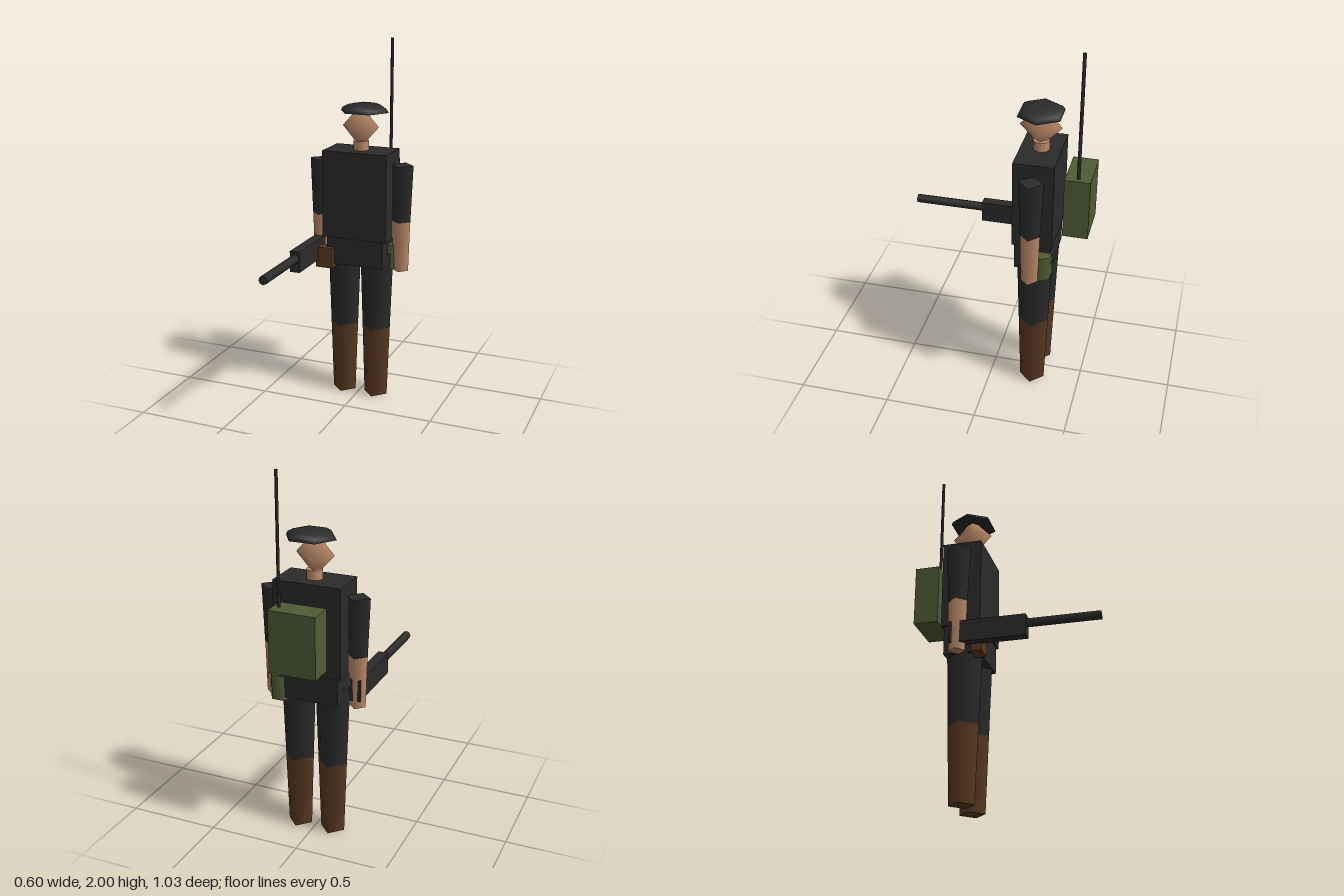
import * as THREE from 'three';

const mat = (name, color) => {
  const m = new THREE.MeshStandardMaterial({ color });
  m.name = name;
  return m;
};

export function createModel() {
  const model = new THREE.Group();
  model.name = 'soldier';
  const Z = -0.235; // depth of the body axis

  const black = mat('blackCloth', 0x2b2b2b);
  const brown = mat('brownLeather', 0x5a3a22);
  const green = mat('greenCanvas', 0x505c36);
  const skin = mat('skin', 0xc08d6a);

  const add = (name, geometry, material, x, y, z, parent = model) => {
    const mesh = new THREE.Mesh(geometry, material);
    mesh.name = name;
    mesh.position.set(x, y, z);
    parent.add(mesh);
    return mesh;
  };
  // Box given by its extents on each axis
  const box = (name, material, [x0, x1], [y0, y1], [z0, z1]) =>
    add(name, new THREE.BoxGeometry(x1 - x0, y1 - y0, z1 - z0), material,
      (x0 + x1) / 2, (y0 + y1) / 2, (z0 + z1) / 2);
  // Upright tapered column between two heights
  const column = (name, material, x, z, y0, r0, y1, r1, sides, parent) =>
    add(name, new THREE.CylinderGeometry(r1, r0, y1 - y0, sides), material,
      x, (y0 + y1) / 2, z, parent);

  // Body
  box('torso', black, [-0.184, 0.184], [0.937, 1.42], [-0.34, -0.128]);
  box('hips', black, [-0.163, 0.163], [0.783, 0.937], [-0.33, -0.138]);
  column('neck', skin, 0, Z, 1.4, 0.044, 1.47, 0.044, 8);

  // Faceted head
  const head = add('head', new THREE.SphereGeometry(1, 4, 2), skin, -0.002, 1.547, -0.232);
  head.scale.set(0.104, 0.115, 0.11);

  // Beret: shallow six-sided dome with a flat underside
  const beret = new THREE.Group();
  beret.name = 'beret';
  beret.position.set(0.019, 1.628, -0.234);
  beret.scale.set(0.137, 0.048, 0.126);
  model.add(beret);
  add('beretCrown', new THREE.SphereGeometry(1, 6, 4, 0, Math.PI * 2, 0, Math.PI / 2), black, 0, 0, 0, beret);
  add('beretUnderside', new THREE.CircleGeometry(1, 6), black, 0, 0, 0, beret).rotation.x = Math.PI / 2;

  // Four-sided arms and legs
  for (const [side, s] of [['left', 1], ['right', -1]]) {
    const arm = new THREE.Group();
    arm.name = side + 'Arm';
    const leg = new THREE.Group();
    leg.name = side + 'Leg';
    model.add(arm, leg);
    column('sleeve', black, s * 0.235, Z, 1.04, 0.053, 1.353, 0.065, 4, arm);
    column('forearm', skin, s * 0.235, Z, 0.762, 0.045, 1.04, 0.052, 4, arm);
    column('trouserLeg', black, s * 0.096, Z, 0.41, 0.082, 0.85, 0.097, 4, leg);
    column('boot', brown, s * 0.096, Z, 0, 0.068, 0.41, 0.082, 4, leg);
  }

  // Belt gear
  box('beltPouch', brown, [-0.217, -0.12], [0.763, 0.878], [-0.167, -0.108]);
  column('canteen', green, 0.17, -0.28, 0.763, 0.066, 0.9, 0.066, 6).rotation.y = Math.PI / 6;

  // Radio pack and aerial
  box('backpack', green, [-0.127, 0.126], [0.995, 1.325], [-0.514, -0.381]);
  column('aerial', black, 0.096, -0.448, 1.3, 0.009, 2, 0.009, 4);

  // Rifle held in the right hand
  box('rifleBody', black, [-0.262, -0.206], [0.802, 0.918], [-0.27, 0.134]);
  const barrel = add('rifleBarrel', new THREE.CylinderGeometry(0.024, 0.024, 0.4, 8), black,
    -0.232, 0.878, 0.314);
  barrel.rotation.x = Math.PI / 2;

  return model;
}
